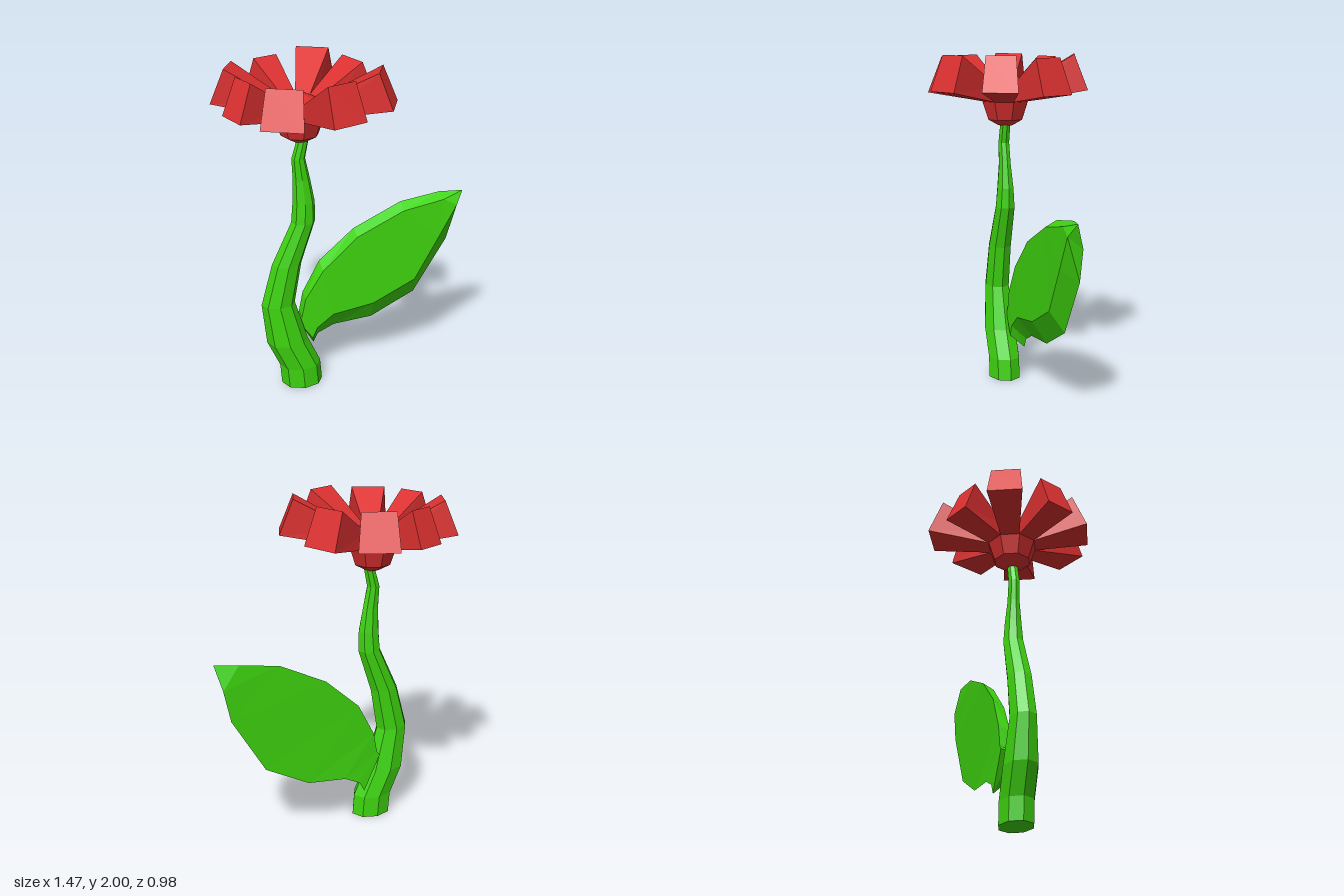
import * as THREE from 'three';

const red = new THREE.MeshStandardMaterial({ color: 0xdc3030, flatShading: true });
red.name = 'petal red';
const green = new THREE.MeshStandardMaterial({ color: 0x3ed40f, flatShading: true });
green.name = 'plant green';

// Skin a list of equally sized point loops and close both ends
function loft(rings) {
  const n = rings[0].length;
  const last = (rings.length - 1) * n;
  const index = [];
  for (let i = 0; i < rings.length - 1; i++) {
    for (let j = 0; j < n; j++) {
      const a = i * n + j, b = i * n + (j + 1) % n;
      index.push(a, a + n, b + n, a, b + n, b);
    }
  }
  for (let j = 1; j < n - 1; j++) {
    index.push(0, j, j + 1, last, last + j + 1, last + j);
  }
  const g = new THREE.BufferGeometry();
  g.setAttribute('position', new THREE.Float32BufferAttribute(rings.flat(2), 3));
  g.setIndex(index);
  const flat = g.toNonIndexed();
  flat.computeVertexNormals();
  return flat;
}

function part(name, geometry, material) {
  const mesh = new THREE.Mesh(geometry, material);
  mesh.name = name;
  return mesh;
}

// Curved stem: height, left x, right x, half depth
function makeStem() {
  const rows = [
    [0, -0.40, -0.15, 0.098], [0.13, -0.41, -0.16, 0.098], [0.3, -0.485, -0.235, 0.098],
    [0.56, -0.51, -0.31, 0.075], [0.82, -0.44, -0.265, 0.07], [1.08, -0.32, -0.18, 0.06],
    [1.2, -0.31, -0.18, 0.05], [1.34, -0.305, -0.205, 0.036], [1.47, -0.31, -0.232, 0.034],
    [1.59, -0.275, -0.208, 0.032],
  ];
  return part('stem', loft(rows.map(([y, x0, x1, d]) => {
    const ring = [];
    for (let k = 0; k < 8; k++) {
      const a = k * Math.PI / 4;
      ring.push([(x0 + x1) / 2 + (x1 - x0) / 2 * Math.cos(a), y, 0.007 + d * Math.sin(a)]);
    }
    return ring;
  })), green);
}

// Leaf stations: front top, back top, back bottom, front bottom (x, y pairs)
function makeLeaf() {
  const z = [-0.012, -0.08, -0.092, -0.005];
  const stations = [
    [-0.29, 0.41, -0.29, 0.42, -0.18, 0.20, -0.20, 0.28],
    [-0.265, 0.43, -0.27, 0.44, -0.15, 0.26, -0.17, 0.35],
    [-0.24, 0.55, -0.245, 0.57, -0.05, 0.31, -0.07, 0.43],
    [-0.13, 0.73, -0.14, 0.77, 0.19, 0.335, 0.18, 0.475],
    [0.08, 0.93, 0.07, 0.96, 0.46, 0.48, 0.44, 0.61],
    [0.36, 1.07, 0.36, 1.105, 0.66, 0.82, 0.585, 0.88],
    [0.61, 1.12, 0.60, 1.145, 0.70, 1.01, 0.69, 1.08],
  ];
  const rings = stations.map(s => z.map((d, k) => [s[2 * k], s[2 * k + 1], d]));
  rings.push(z.map(() => [0.735, 1.155, -0.045]));
  return part('leaf', loft(rings), green);
}

// Eight-sided cup with a low pointed centre
function makeCore() {
  const profile = [[0, 1.575], [0.045, 1.575], [0.108, 1.61], [0.145, 1.72], [0.109, 1.81], [0, 1.86]];
  return part('flowerCore',
    new THREE.LatheGeometry(profile.map(p => new THREE.Vector2(...p)), 8), red);
}

// Wedge petal pointing along +x, widening and rising outwards
function makePetal(reach, width, low, high) {
  const section = (xTop, yTop, wTop, xLow, yLow, wLow) => [
    [xTop, yTop, wTop], [xTop, yTop, -wTop], [xLow, yLow, -wLow], [xLow, yLow, wLow],
  ];
  return part('petal', loft([
    section(0.1, 1.81, 0.042, 0.134, 1.72, 0.055),
    section(reach - 0.08, high, width * 0.42, reach, low, width / 2),
  ]), red);
}

export function createModel() {
  const model = new THREE.Group();
  model.name = 'flower';
  model.add(makeStem(), makeLeaf());

  const bloom = new THREE.Group();
  bloom.name = 'bloom';
  bloom.position.x = -0.258;
  bloom.add(makeCore());

  // Petals clockwise from above: reach, width, outer bottom, outer top
  const petals = [
    [0.53, 0.20, 1.80, 2.0], [0.48, 0.21, 1.79, 1.995], [0.447, 0.233, 1.775, 1.98],
    [0.43, 0.184, 1.775, 1.98], [0.476, 0.20, 1.79, 1.985], [0.42, 0.18, 1.775, 1.975],
    [0.486, 0.227, 1.79, 1.995], [0.442, 0.228, 1.77, 1.98],
  ];
  petals.forEach((p, k) => {
    const petal = makePetal(...p);
    petal.rotation.y = -(k + 0.5) * Math.PI / 4;
    bloom.add(petal);
  });
  model.add(bloom);
  return model;
}
